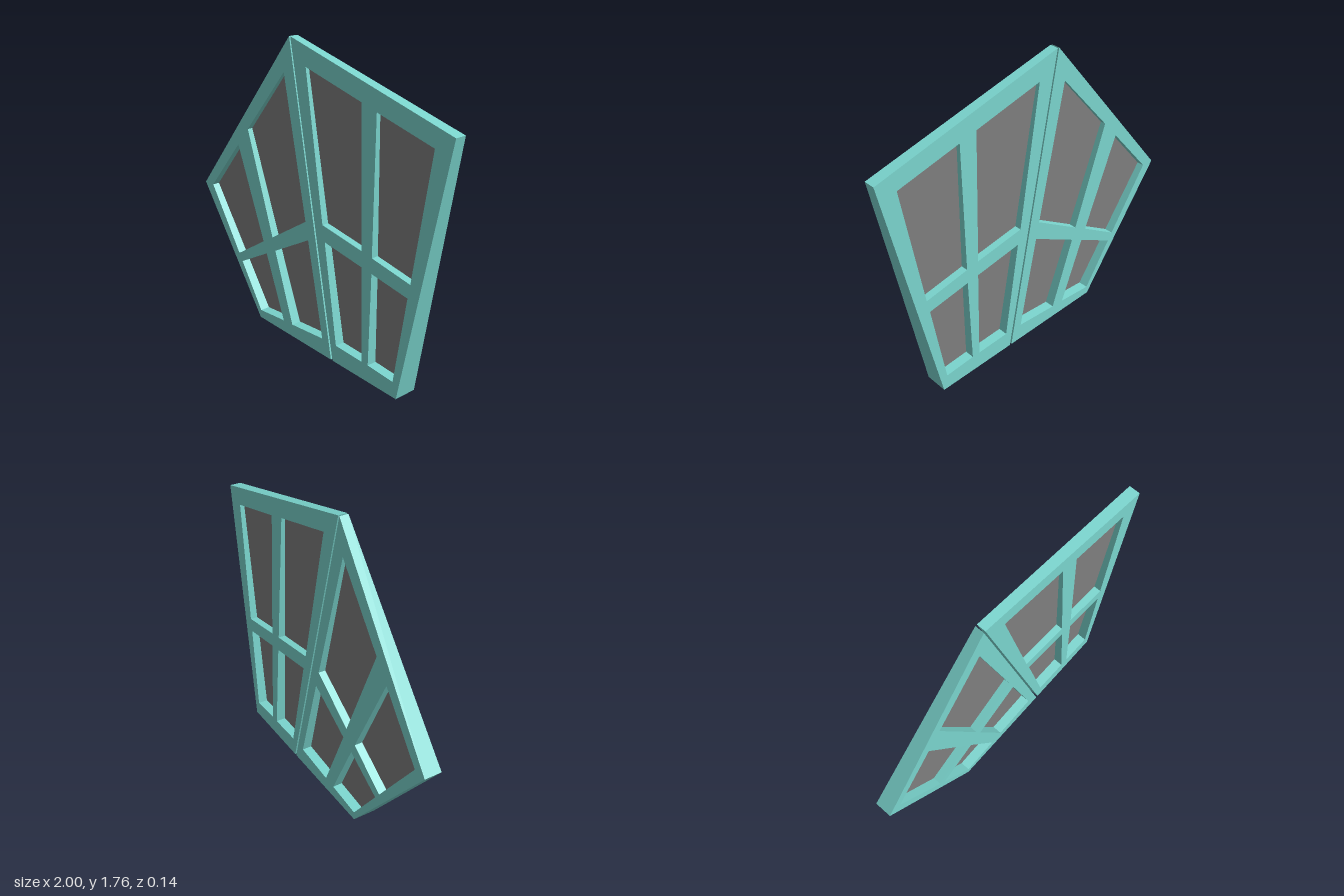
import * as THREE from 'three';

const HEIGHT = 1.757;
const halfDepth = (y) => THREE.MathUtils.lerp(0.068, 0.026, y / HEIGHT);

const frameMaterial = new THREE.MeshStandardMaterial({ color: 0x7bd6cf, flatShading: true });
const paneMaterial = new THREE.MeshStandardMaterial({ color: 0x808080, flatShading: true });

// Each leaf: outer corners (counter-clockwise) and the four panes (clockwise), as [x, y]
const leaves = [
  {
    name: 'rightLeaf',
    outline: [[-0.435, 0], [0.215, 0], [-0.182, HEIGHT], [-1, 0.72]],
    panes: [
      [[-0.553, 1.165], [-0.225, 1.557], [-0.025, 0.757], [-0.32, 0.565]],
      [[-0.92, 0.723], [-0.648, 1.05], [-0.405, 0.512], [-0.65, 0.352]],
      [[-0.618, 0.308], [-0.375, 0.445], [-0.21, 0.07], [-0.43, 0.048]],
      [[-0.293, 0.49], [0, 0.655], [0.137, 0.1], [-0.13, 0.075]],
    ],
  },
  {
    name: 'leftLeaf',
    outline: [[0.228, 0], [0.727, 0], [1, 1.482], [-0.172, HEIGHT]],
    panes: [
      [[-0.043, 1.617], [0.387, 1.518], [0.427, 0.738], [0.117, 0.783]],
      [[0.495, 1.491], [0.88, 1.404], [0.78, 0.68], [0.505, 0.725]],
      [[0.139, 0.69], [0.433, 0.648], [0.46, 0.1], [0.253, 0.105]],
      [[0.507, 0.638], [0.767, 0.6], [0.697, 0.09], [0.509, 0.1]],
    ],
  },
];

const points = (corners) => corners.map(([x, y]) => new THREE.Vector2(x, y));

// Extrudes a polygon about z = 0; thickness(y) gives half its depth at each height
function slab(shape, thickness) {
  const geometry = new THREE.ExtrudeGeometry(shape, { depth: 2, bevelEnabled: false });
  const pos = geometry.attributes.position;
  for (let i = 0; i < pos.count; i++) {
    pos.setZ(i, (pos.getZ(i) - 1) * thickness(pos.getY(i)));
  }
  geometry.computeVertexNormals();
  return geometry;
}

function addMesh(parent, name, geometry, material) {
  const mesh = new THREE.Mesh(geometry, material);
  mesh.name = name;
  parent.add(mesh);
}

export function createModel() {
  const model = new THREE.Group();
  model.name = 'windowPanels';

  for (const { name, outline, panes } of leaves) {
    const leaf = new THREE.Group();
    leaf.name = name;

    // Frame, thicker at the foot, with an opening for every pane
    const shape = new THREE.Shape(points(outline));
    for (const pane of panes) shape.holes.push(new THREE.Path(points(pane)));
    addMesh(leaf, 'frame', slab(shape, halfDepth), frameMaterial);

    // Thin panes recessed at the middle of the frame
    panes.forEach((pane, i) => {
      addMesh(leaf, `pane${i + 1}`, slab(new THREE.Shape(points(pane)), () => 0.008), paneMaterial);
    });
    model.add(leaf);
  }
  return model;
}
